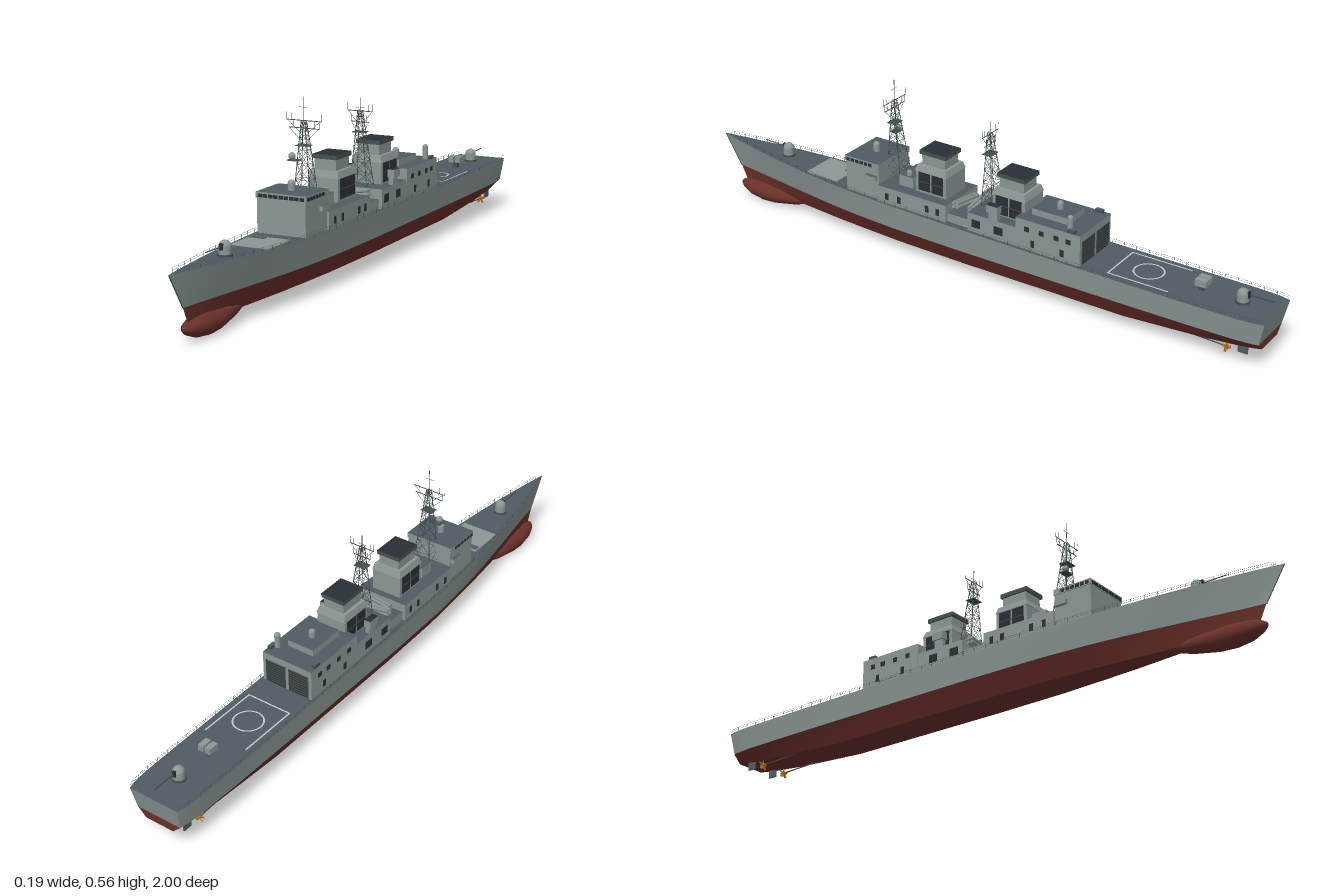
import * as THREE from 'three';
import { mergeGeometries } from 'three/addons/utils/BufferGeometryUtils.js';

const V = (x, y, z) => new THREE.Vector3(x, y, z);
// hull stations: z, deck half width, deck height, waterline half width, bottom half width, bottom height
const STATIONS = [
  [1, 0.0008, 0.2, 0.0008, 0.0008, 0.04], [0.92, 0.019, 0.197, 0.01, 0.004, 0.04],
  [0.8, 0.041, 0.193, 0.026, 0.011, 0.04], [0.7, 0.057, 0.19, 0.039, 0.019, 0.04],
  [0.6, 0.07, 0.187, 0.052, 0.027, 0.04], [0.5, 0.08, 0.185, 0.064, 0.035, 0.04],
  [0.4, 0.088, 0.183, 0.074, 0.042, 0.04], [0.25, 0.094, 0.181, 0.084, 0.051, 0.04],
  [0, 0.097, 0.178, 0.089, 0.056, 0.04], [-0.3, 0.097, 0.175, 0.089, 0.056, 0.04],
  [-0.55, 0.097, 0.173, 0.089, 0.056, 0.04], [-0.8, 0.096, 0.172, 0.087, 0.055, 0.055],
  [-0.92, 0.094, 0.172, 0.084, 0.054, 0.066], [-0.97, 0.09, 0.172, 0.08, 0.052, 0.071],
  [-1, 0.083, 0.172, 0.075, 0.048, 0.074],
];
const rake = (z, bow) => z - bow * Math.max(0, (z - 0.5) / 0.5) + 0.015 * Math.max(0, (-z - 0.9) / 0.1);
const deckPoint = (s) => V(s[1], s[2], s[0]);
const waterPoint = (s) => V(s[3], 0.1, rake(s[0], 0.062));
const bottomPoint = (s) => V(s[4], s[5], rake(s[0], 0.09));
const mirror = (p) => V(-p.x, p.y, p.z);

function deckAt(z) {
  const i = Math.max(1, STATIONS.findIndex((s) => s[0] <= z));
  const a = STATIONS[i - 1], b = STATIONS[i];
  return deckPoint(a).lerp(deckPoint(b), (a[0] - z) / (a[0] - b[0]));
}

// surface between two rows of points
function strip(a, b) {
  const pos = [], idx = [], n = a.length;
  [...a, ...b].forEach((p) => pos.push(p.x, p.y, p.z));
  for (let i = 0; i < n - 1; i++) idx.push(i, n + i, i + 1, i + 1, n + i, n + i + 1);
  const g = new THREE.BufferGeometry();
  g.setAttribute('position', new THREE.Float32BufferAttribute(pos, 3));
  g.setIndex(idx);
  g.computeVertexNormals();
  return g;
}

// thin round bar between two points
function bar(a, b, r = 0.0006) {
  const d = b.clone().sub(a);
  const g = new THREE.CylinderGeometry(r, r, d.length(), 5);
  g.applyQuaternion(new THREE.Quaternion().setFromUnitVectors(V(0, 1, 0), d.normalize()));
  return g.translate((a.x + b.x) / 2, (a.y + b.y) / 2, (a.z + b.z) / 2);
}

export function createModel() {
  const ship = new THREE.Group();
  const mat = (name, color) => {
    const m = new THREE.MeshStandardMaterial({ color });
    m.name = name;
    return m;
  };
  const grey = mat('hull grey', 0x8b9796), deck = mat('deck grey', 0x4f5b62), red = mat('antifouling red', 0x6b302a);
  const dark = mat('dark grey', 0x2a2f35), steel = mat('mast steel', 0x485050), white = mat('marking white', 0xc4cccc);
  const gold = mat('bronze', 0xa8762c);
  const add = (name, g, m) => {
    const mesh = new THREE.Mesh(g, m);
    mesh.name = name;
    ship.add(mesh);
  };
  // box standing on y0; top shrinks by taper; roof in deck colour
  const block = (name, w, y0, y1, z0, z1, { x = 0, taper = 1, side = grey, roof = deck } = {}) => {
    const h = y1 - y0, g = new THREE.BoxGeometry(w, h, Math.abs(z1 - z0)), p = g.attributes.position;
    for (let i = 0; i < p.count; i++) if (p.getY(i) > 0) p.setXYZ(i, p.getX(i) * taper, p.getY(i), p.getZ(i) * taper);
    g.computeVertexNormals();
    g.translate(x, y0 + h / 2, (z0 + z1) / 2);
    add(name, g, [side, side, roof, side, side, side]);
  };
  const plate = (w, h, d, x, y, z) => new THREE.BoxGeometry(w, h, d).translate(x, y, z);

  // hull
  const D = STATIONS.map(deckPoint), W = STATIONS.map(waterPoint), B = STATIONS.map(bottomPoint);
  const [dm, wm, bm] = [D, W, B].map((row) => row.map(mirror));
  const end = STATIONS.length - 1;
  add('hullTopsides', mergeGeometries([strip(D, W), strip(wm, dm)]), grey);
  add('hullUnderwater', mergeGeometries([strip(W, B), strip(bm, wm), strip(B, bm)]), red);
  add('mainDeck', strip(dm, D), deck);
  add('transom', strip([D[end], dm[end]], [W[end], wm[end]]), grey);
  add('lowerTransom', strip([W[end], wm[end]], [B[end], bm[end]]), red);
  add('stem', bar(D[0], W[0], 0.0015), steel);

  // bulb at the forefoot, its axis curving up towards both ends
  const profile = [[0, 0], [0.012, 0.03], [0.024, 0.09], [0.034, 0.17], [0.036, 0.22], [0.031, 0.27], [0.019, 0.305], [0.008, 0.32], [0, 0.325]];
  const bulb = new THREE.LatheGeometry(profile.map(([r, y]) => new THREE.Vector2(r, y)), 20);
  bulb.rotateX(Math.PI / 2).scale(1, 0.9, 1).translate(0, 0.034, 0.615);
  const bp = bulb.attributes.position;
  for (let i = 0; i < bp.count; i++) bp.setY(i, bp.getY(i) + 0.5 * (bp.getZ(i) - 0.82) ** 2);
  bulb.computeVertexNormals();
  add('bowBulb', bulb, red);

  // superstructure
  block('bridgeHouse', 0.156, 0.17, 0.284, 0.305, 0.43);
  block('bridgeTop', 0.162, 0.284, 0.302, 0.303, 0.432);
  block('forwardDeckhouse', 0.17, 0.17, 0.235, 0.05, 0.305);
  block('middleDeckhouse', 0.15, 0.17, 0.207, -0.03, 0.05);
  block('aftDeckhouse', 0.172, 0.17, 0.238, -0.2, -0.03);
  block('hangar', 0.174, 0.165, 0.272, -0.42, -0.2);
  block('hangarUpperHouse', 0.09, 0.272, 0.292, -0.355, -0.23);
  block('forwardSignalHouse', 0.09, 0.235, 0.27, 0.2, 0.25);

  // bridge windows
  const panes = [];
  for (let i = -4; i <= 4; i++) panes.push(plate(0.0135, 0.01, 0.003, i * 0.0168, 0.292, 0.432));
  for (const s of [-1, 1]) for (let i = 0; i < 6; i++) panes.push(plate(0.003, 0.01, 0.012, s * 0.081, 0.292, 0.42 - i * 0.017));
  add('bridgeWindows', mergeGeometries(panes), dark);

  // doors and side openings
  const openings = [];
  for (const s of [-1, 1]) {
    for (const z of [0.27, 0.225, 0.12, 0.08]) openings.push(plate(0.003, 0.022, 0.012, s * 0.085, 0.205, z));
    for (const z of [-0.06, -0.14]) openings.push(plate(0.003, 0.025, 0.03, s * 0.086, 0.207, z));
    for (const z of [-0.24, -0.29, -0.34, -0.38]) openings.push(plate(0.003, 0.015, 0.016, s * 0.087, 0.243, z));
    for (const z of [-0.26, -0.36]) openings.push(plate(0.003, 0.022, 0.012, s * 0.087, 0.2, z));
  }
  add('sideOpenings', mergeGeometries(openings), dark);
  for (const s of [-1, 1]) {
    add('hangarDoor', plate(0.07, 0.075, 0.004, s * 0.041, 0.213, -0.42), steel);
    const slats = [];
    for (let i = 0; i < 9; i++) slats.push(plate(0.068, 0.002, 0.004, s * 0.041, 0.18 + i * 0.0083, -0.4215));
    add('hangarDoorSlats', mergeGeometries(slats), dark);
    block('sidePlatform', 0.022, 0.262, 0.286, -0.14, -0.1, { x: s * 0.081, roof: dark });
    block('platformSupport', 0.016, 0.236, 0.262, -0.135, -0.105, { x: s * 0.078 });
    block('raftRack', 0.012, 0.272, 0.282, -0.4, -0.375, { x: s * 0.079, side: steel });
    block('bridgeWing', 0.014, 0.245, 0.26, 0.31, 0.35, { x: s * 0.083 });
  }

  // funnels
  for (const z of [0.128, -0.153]) {
    block('funnelBase', 0.1, 0.23, 0.305, z - 0.056, z + 0.056);
    block('funnelShoulder', 0.104, 0.305, 0.325, z - 0.058, z + 0.058, { taper: 0.88, roof: grey });
    block('funnelNeck', 0.07, 0.325, 0.358, z - 0.042, z + 0.042);
    block('funnelCap', 0.08, 0.358, 0.371, z - 0.048, z + 0.048, { side: steel, roof: dark });
    const grille = [], bars = [];
    for (const s of [-1, 1]) {
      for (const k of [-1, 1]) grille.push(plate(0.003, 0.06, 0.042, s * 0.0505, 0.273, z + k * 0.024));
      bars.push(plate(0.004, 0.002, 0.092, s * 0.051, 0.273, z));
    }
    add('funnelGrilles', mergeGeometries(grille), dark);
    add('funnelBars', mergeGeometries(bars), steel);
  }

  // lattice masts; the half width narrows with height
  const mast = (name, z, y0, y1, yards, poleTop) => {
    const parts = [], n = 6;
    const corner = (k, i) => {
      const y = y0 + (y1 - y0) * i / n, w = 0.006 + (y1 - y) * 0.095;
      return V([1, -1, -1, 1][k % 4] * w, y, z + 0.012 * i / n + [1, 1, -1, -1][k % 4] * w * 0.85);
    };
    for (let k = 0; k < 4; k++) {
      parts.push(bar(corner(k, 0), corner(k, n), 0.0012));
      for (let i = 0; i < n; i++) {
        parts.push(bar(corner(k, i + 1), corner(k + 1, i + 1)));
        parts.push(bar(corner(k, i), corner(k + 1, i + 1)), bar(corner(k + 1, i), corner(k, i + 1)));
      }
    }
    const zt = z + 0.012;
    parts.push(bar(V(0, y1 - 0.02, zt), V(0, poleTop, zt), 0.001));
    parts.push(bar(V(-0.016, poleTop - 0.03, zt), V(0.016, poleTop - 0.03, zt)));
    for (const [y, w] of yards) {
      parts.push(bar(V(-w, y, zt), V(w, y, zt), 0.0013));
      for (const s of [-1, 1]) {
        parts.push(bar(V(s * w, y, zt), V(s * w, y + 0.022, zt)));
        parts.push(bar(V(s * w * 0.7, y, zt), V(s * w * 0.7, y + 0.02, zt)));
        parts.push(bar(V(s * w * 0.95, y, zt), V(s * 0.012, y - 0.035, zt)));
      }
    }
    parts.push(plate(0.04, 0.002, 0.03, 0, y0 + (y1 - y0) * 0.72, zt));
    add(name, mergeGeometries(parts), steel);
  };
  mast('forwardMast', 0.285, 0.235, 0.49, [[0.49, 0.056], [0.468, 0.05]], 0.558);
  mast('mainMast', -0.065, 0.235, 0.47, [[0.468, 0.042], [0.435, 0.03]], 0.508);
  add('radomePlatform', plate(0.036, 0.003, 0.024, -0.024, 0.376, 0.31), steel);
  add('mastRadome', new THREE.SphereGeometry(0.0105, 16, 12).translate(-0.031, 0.388, 0.312), grey);

  // domed mounts on the roofs
  const dome = (name, x, y, z, r, h) => {
    add(name, new THREE.CylinderGeometry(r, r, h, 16).translate(x, y + h / 2, z), grey);
    add(name + 'Cap', new THREE.SphereGeometry(r, 16, 10).translate(x, y + h, z), grey);
  };
  dome('bridgeRoofMount', 0, 0.302, 0.37, 0.011, 0.02);
  dome('hangarRoofMount', 0, 0.292, -0.3, 0.01, 0.016);
  dome('hangarSideMount', 0.068, 0.272, -0.375, 0.009, 0.04);
  dome('director', 0.03, 0.27, 0.222, 0.009, 0.008);

  // deck guns
  for (const [z, dir] of [[0.73, 1], [-0.895, -1]]) {
    const y = deckAt(z).y;
    add('gunRing', new THREE.CylinderGeometry(0.021, 0.021, 0.006, 20).translate(0, y + 0.003, z), steel);
    dome('gunHouse', 0, y + 0.004, z, 0.018, 0.022);
    add('gunMantlet', plate(0.01, 0.018, 0.01, 0, y + 0.028, z + dir * 0.016), dark);
    add('gunBarrel', bar(V(0, y + 0.028, z + dir * 0.01), V(0, y + 0.03, z + dir * 0.095), 0.0017), steel);
  }

  // foredeck launcher panel
  block('launcherPanel', 0.122, 0.18, 0.189, 0.485, 0.607, { roof: grey });
  add('launcherHatch', plate(0.046, 0.002, 0.018, -0.034, 0.1895, 0.501), deck);

  // aft box launcher
  block('launcherPedestal', 0.016, 0.17, 0.193, -0.778, -0.762, { side: steel });
  for (const s of [-1, 1]) block('launcherBox', 0.018, 0.19, 0.21, -0.79, -0.755, { x: s * 0.012, roof: grey });

  // crossed canister launchers amidships
  for (const [z, s] of [[0.025, 1], [-0.012, -1]]) {
    const tubes = [];
    for (const dy of [0, 0.013]) for (const dz of [0, 0.013])
      tubes.push(bar(V(-s * 0.045, 0.214 + dy, z + dz - 0.006), V(s * 0.07, 0.232 + dy, z + dz - 0.006), 0.0055));
    add('canisterLauncher', mergeGeometries(tubes), grey);
  }

  // landing deck markings
  const flat = (w, d, x, z) => new THREE.PlaneGeometry(w, d).rotateX(-Math.PI / 2).translate(x, 0.176, z);
  add('landingBorder', mergeGeometries([
    flat(0.005, 0.195, -0.073, -0.603), flat(0.005, 0.195, 0.073, -0.603), flat(0.151, 0.005, 0, -0.506)]), white);
  add('landingCircle', new THREE.RingGeometry(0.042, 0.047, 40).rotateX(-Math.PI / 2).translate(0, 0.176, -0.6), white);

  // deck railings
  const rails = [];
  for (const s of [-1, 1]) {
    const at = (z, h) => { const p = deckAt(z); return V(s * (p.x - 0.001), p.y + h, z); };
    for (let i = 0; i < 48; i++) {
      const z0 = 0.97 - i * 0.041, z1 = z0 - 0.041;
      rails.push(bar(at(z0, 0), at(z0, 0.013)));
      for (const h of [0.007, 0.013]) rails.push(bar(at(z0, h), at(z1, h), 0.0003));
    }
  }
  add('deckRailings', mergeGeometries(rails), steel);

  // propellers, shafts and rudders
  for (const s of [-1, 1]) {
    const x = s * 0.047, blades = [bar(V(x, 0.047, -0.89), V(x, 0.047, -0.865), 0.004)];
    for (let i = 0; i < 5; i++)
      blades.push(plate(0.008, 0.016, 0.002, 0, 0.009, 0).rotateY(0.5).rotateZ(i * Math.PI * 0.4).translate(x, 0.047, -0.878));
    add('propeller', mergeGeometries(blades), gold);
    add('propellerShaft', bar(V(x, 0.047, -0.87), V(x, 0.052, -0.72), 0.002), steel);
    add('rudder', plate(0.005, 0.034, 0.03, x, 0.06, -0.928), deck);
  }
  return ship;
}
